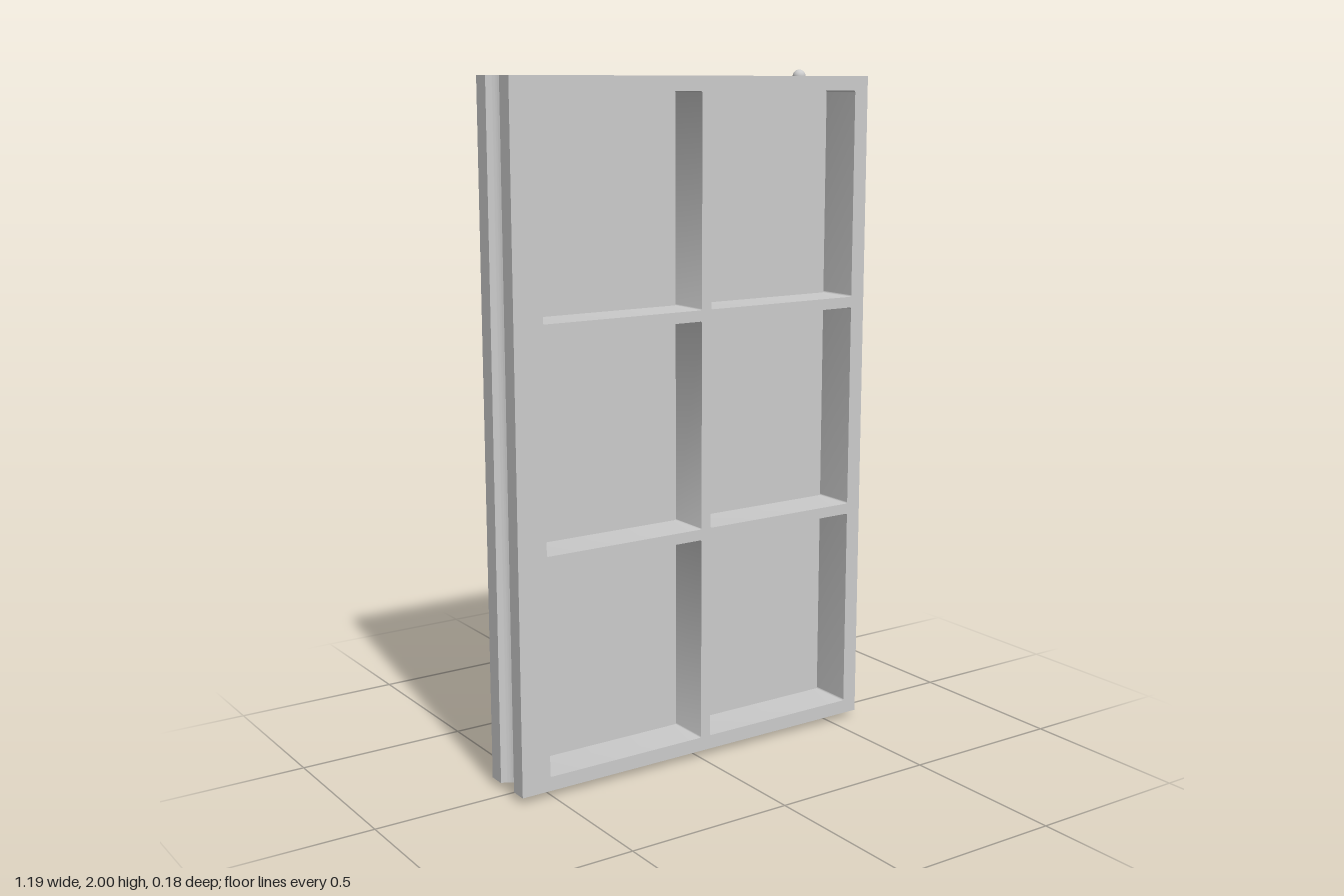
import * as THREE from 'three';
import { toCreasedNormals } from 'three/addons/utils/BufferGeometryUtils.js';

const W = 0.597, T = 0.088;            // half width, half thickness
const BOTTOM = 0.019, TOP = 1.981;     // panel ends
const SEAM = -0.53;                    // where the grooved stile meets the frame
const FLOOR = -0.044;                  // z of the pocket floors
const GROOVE = 0.038, PIN = 0.019;     // radii

function roundedRect(x, y, w, h, r) {
  const p = new THREE.Path();
  p.absarc(x + r, y + r, r, Math.PI, Math.PI * 1.5);
  p.absarc(x + w - r, y + r, r, Math.PI * 1.5, Math.PI * 2);
  p.absarc(x + w - r, y + h - r, r, 0, Math.PI / 2);
  p.absarc(x + r, y + h - r, r, Math.PI / 2, Math.PI);
  p.closePath();
  return p;
}

export function createModel() {
  const model = new THREE.Group();
  model.name = 'panelDoor';
  const material = new THREE.MeshStandardMaterial({ color: 0xcccccc });
  const add = (name, geometry, x = 0, y = 0, z = 0) => {
    const mesh = new THREE.Mesh(geometry, material);
    mesh.name = name;
    mesh.position.set(x, y, z);
    model.add(mesh);
  };

  // Front lattice with two columns and three rows of pockets
  const face = new THREE.Shape([
    new THREE.Vector2(SEAM, BOTTOM), new THREE.Vector2(W, BOTTOM),
    new THREE.Vector2(W, TOP), new THREE.Vector2(SEAM, TOP),
  ]);
  const cellW = 0.513, cellH = 0.605, gap = 0.032;
  for (let col = 0; col < 2; col++) {
    for (let row = 0; row < 3; row++) {
      face.holes.push(roundedRect(
        -0.508 + col * (cellW + gap), 0.0605 + row * (cellH + gap), cellW, cellH, 0.005));
    }
  }
  const lattice = new THREE.ExtrudeGeometry(face, { depth: T - FLOOR, bevelEnabled: false, curveSegments: 4 });
  add('lattice', toCreasedNormals(lattice, 0.5), 0, 0, FLOOR);

  // Back plate closing the pockets
  add('backPlate', new THREE.BoxGeometry(W - SEAM, TOP - BOTTOM, FLOOR + T),
    (W + SEAM) / 2, (TOP + BOTTOM) / 2, (FLOOR - T) / 2);

  // Edge stile with a half-round groove along its full height
  const section = new THREE.Shape();
  section.moveTo(-W, -T);
  section.lineTo(SEAM, -T);
  section.lineTo(SEAM, T);
  section.lineTo(-W, T);
  section.lineTo(-W, GROOVE);
  section.absarc(-W, 0, GROOVE, Math.PI / 2, -Math.PI / 2, true);
  section.closePath();
  const stile = new THREE.ExtrudeGeometry(section, { depth: TOP - BOTTOM, bevelEnabled: false, curveSegments: 24 });
  stile.rotateX(-Math.PI / 2);
  add('groovedStile', toCreasedNormals(stile, 0.5), 0, BOTTOM, 0);

  // Round pivot pins at both ends
  for (const [name, y] of [['topPivot', TOP], ['bottomPivot', BOTTOM]]) {
    add(name, new THREE.SphereGeometry(PIN, 24, 16), 0.41, y, 0);
  }
  return model;
}
